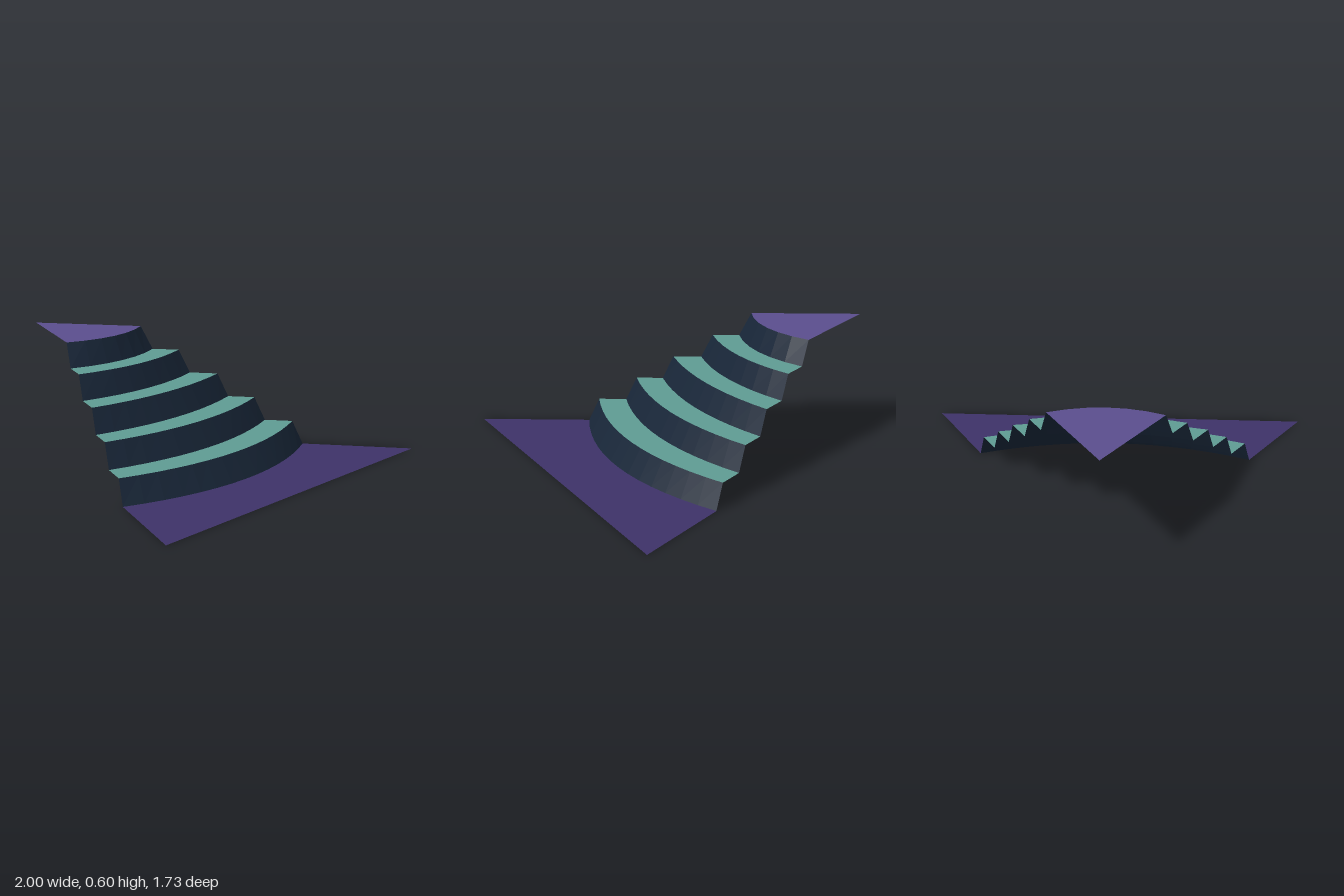
import * as THREE from 'three';

const APEX = -0.866, FRONT = 0.866, STEP = 0.12;

// Each riser: z at the middle and at the sides, for its foot and its top edge
const RISERS = [
  { foot: [0.535, 0.374], top: [0.463, 0.325], segments: 14 },
  { foot: [0.31, 0.2], top: [0.245, 0.15], segments: 12 },
  { foot: [0.105, 0.03], top: [0.043, -0.02], segments: 10 },
  { foot: [-0.085, -0.147], top: [-0.137, -0.2], segments: 8 },
  { foot: [-0.255, -0.32], top: [-0.305, -0.375], segments: 6 },
];

function material(color) {
  return new THREE.MeshStandardMaterial({ color, flatShading: true, side: THREE.DoubleSide });
}

// Bowed contour from the left side of the triangle to the right, as [x, z]
function contour([middle, side], segments) {
  const half = (side - APEX) / Math.sqrt(3);
  return Array.from({ length: segments + 1 }, (_, i) => {
    const t = (2 * i) / segments - 1;
    return [t * half, middle + (side - middle) * t * t];
  });
}

// Flat level area between a front and a back outline
function levelArea(front, back, y) {
  const outline = [...front, ...[...back].reverse()];
  const shape = new THREE.Shape(outline.map(([x, z]) => new THREE.Vector2(x, -z)));
  return new THREE.ShapeGeometry(shape).rotateX(-Math.PI / 2).translate(0, y, 0);
}

// Sloped strip joining two contours at different heights
function slopedStrip(foot, top, y0, y1) {
  const positions = [], index = [];
  foot.forEach(([x, z], i) => {
    positions.push(x, y0, z, top[i][0], y1, top[i][1]);
    if (i > 0) {
      const a = 2 * (i - 1);
      index.push(a, a + 2, a + 3, a, a + 3, a + 1);
    }
  });
  const geometry = new THREE.BufferGeometry();
  geometry.setAttribute('position', new THREE.Float32BufferAttribute(positions, 3));
  geometry.setIndex(index);
  geometry.computeVertexNormals();
  return geometry;
}

export function createModel() {
  const model = new THREE.Group();
  model.name = 'terracedTriangle';
  const riserMaterial = material(0x182638);
  const treadMaterial = material(0x5f9c93);
  const baseMaterial = material(0x3e3269);
  const summitMaterial = material(0x5b4e8e);

  const add = (name, geometry, mat) => {
    const mesh = new THREE.Mesh(geometry, mat);
    mesh.name = name;
    model.add(mesh);
  };

  // Levels and risers, climbing from the front edge to the apex
  let front = [[-1, FRONT], [1, FRONT]];
  RISERS.forEach(({ foot, top, segments }, i) => {
    const footLine = contour(foot, segments);
    const topLine = contour(top, segments);
    const y = i * STEP;
    add(i === 0 ? 'basePlain' : `tread${i}`, levelArea(front, footLine, y),
      i === 0 ? baseMaterial : treadMaterial);
    add(`riser${i + 1}`, slopedStrip(footLine, topLine, y, y + STEP), riserMaterial);
    front = topLine;
  });

  // Pointed summit plateau
  add('summit', levelArea(front, [[0, APEX]], RISERS.length * STEP), summitMaterial);
  return model;
}
